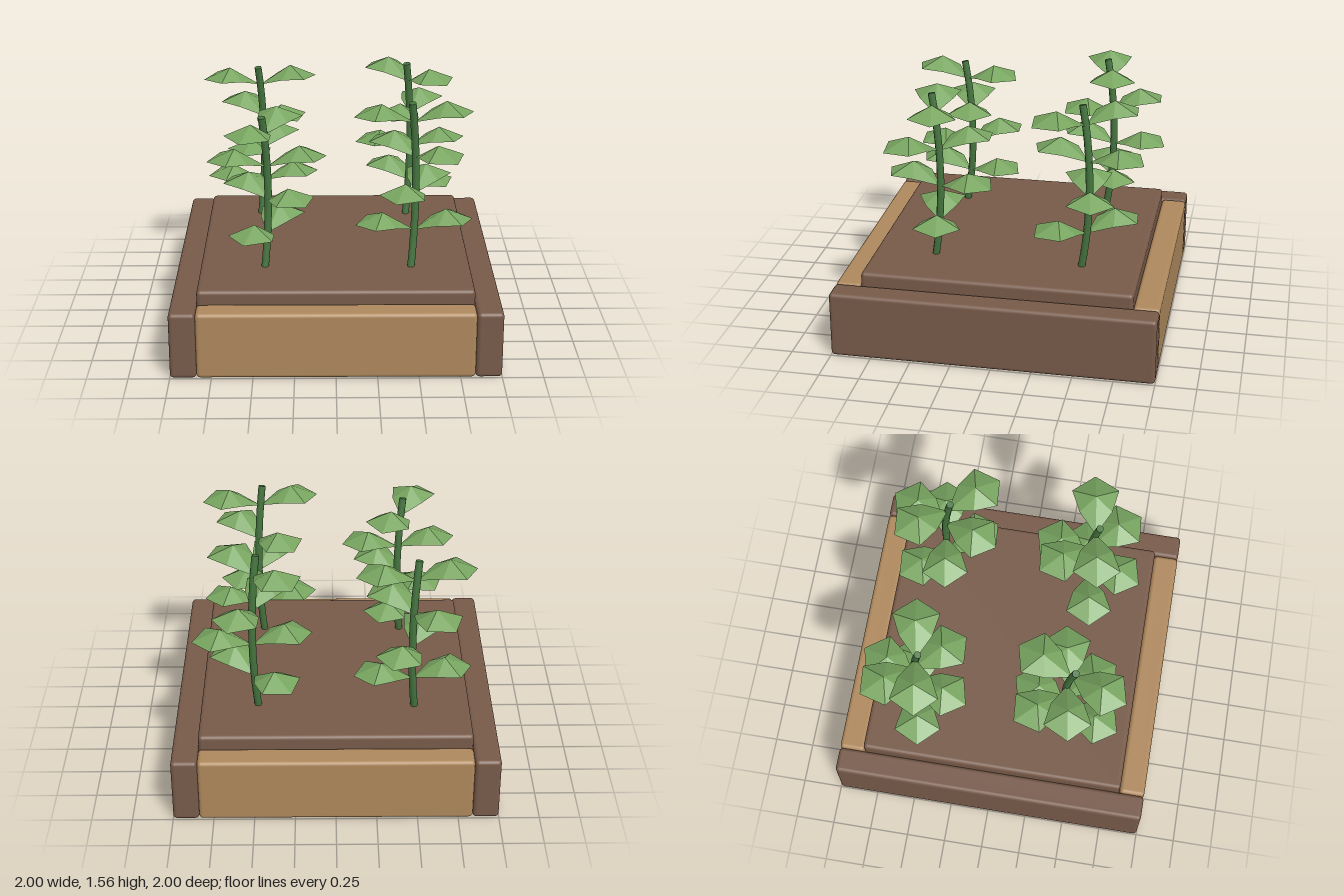
import * as THREE from 'three';
import { RoundedBoxGeometry } from 'three/addons/geometries/RoundedBoxGeometry.js';

export function createModel() {
  const group = new THREE.Group();
  const mat = (name, color, extra = {}) => {
    const m = new THREE.MeshStandardMaterial({ color, ...extra });
    m.name = name;
    return m;
  };
  const darkWood = mat('brown', 0x775a49);
  const lightWood = mat('tan wood', 0xae885c);
  const stemGreen = mat('stem green', 0x45753f);
  const leafGreen = mat('leaf green', 0x78a560, { flatShading: true, side: THREE.DoubleSide });

  const box = (name, material, w, h, d, x, y, z) => {
    const m = new THREE.Mesh(new RoundedBoxGeometry(w, h, d, 3, 0.025), material);
    m.name = name;
    m.position.set(x, y, z);
    group.add(m);
  };

  // Planter frame and the raised soil slab, open underneath
  for (const s of [-1, 1]) {
    box(s > 0 ? 'leftBoard' : 'rightBoard', darkWood, 0.16, 0.42, 2, s * 0.92, 0.21, 0);
    box(s > 0 ? 'frontBoard' : 'backBoard', lightWood, 1.68, 0.42, 0.16, 0, 0.21, s * 0.92);
  }
  box('soil', darkWood, 1.68, 0.14, 1.68, 0, 0.43, 0);

  // Faceted leaf along +x: a fan of six triangles around the raised ridge point
  const ridge = [0.2, 0.125, 0];
  const rim = [
    [0.0, 0, 0], [0.13, 0.05, 0.1], [0.27, 0.06, 0.145],
    [0.37, 0.05, 0], [0.27, 0.06, -0.145], [0.13, 0.05, -0.1],
  ];
  const pts = [];
  rim.forEach((p, i) => pts.push(...ridge, ...p, ...rim[(i + 1) % rim.length]));
  const leafGeo = new THREE.BufferGeometry();
  leafGeo.setAttribute('position', new THREE.Float32BufferAttribute(pts, 3));
  leafGeo.computeVertexNormals();

  // Plant: bowed stem with four tiers of opposite leaves, each tier turned 60 degrees
  const addPlant = (x, z, height, phase) => {
    const plant = new THREE.Group();
    plant.name = 'plant';
    const curve = new THREE.QuadraticBezierCurve3(
      new THREE.Vector3(0, -0.03, 0),
      new THREE.Vector3(0.055, height * 0.5, -0.1),
      new THREE.Vector3(-0.005, height, 0.005)
    );
    const stem = new THREE.Mesh(new THREE.TubeGeometry(curve, 10, 0.023, 8), stemGreen);
    stem.name = 'stem';
    plant.add(stem);

    // Flat cap on the stem tip
    const cap = new THREE.Mesh(new THREE.CircleGeometry(0.023, 8), stemGreen);
    cap.name = 'stemTip';
    cap.position.copy(curve.getPoint(1));
    cap.quaternion.setFromUnitVectors(new THREE.Vector3(0, 0, 1), curve.getTangent(1));
    plant.add(cap);

    for (let i = 0; i < 4; i++) {
      const t = 0.235 + 0.215 * i;
      for (const flip of [0, 180]) {
        const leaf = new THREE.Mesh(leafGeo, leafGreen);
        leaf.name = 'leaf';
        leaf.position.copy(curve.getPoint(t));
        leaf.rotation.y = THREE.MathUtils.degToRad(9 + 60 * (i + phase) + flip);
        plant.add(leaf);
      }
    }
    plant.position.set(x, 0.5, z);
    group.add(plant);
  };
  addPlant(-0.495, -0.49, 1.02, 0);
  addPlant(0.48, -0.47, 1.05, 2);
  addPlant(-0.44, 0.45, 0.97, 1);
  addPlant(0.468, 0.455, 1.06, 0);

  return group;
}
